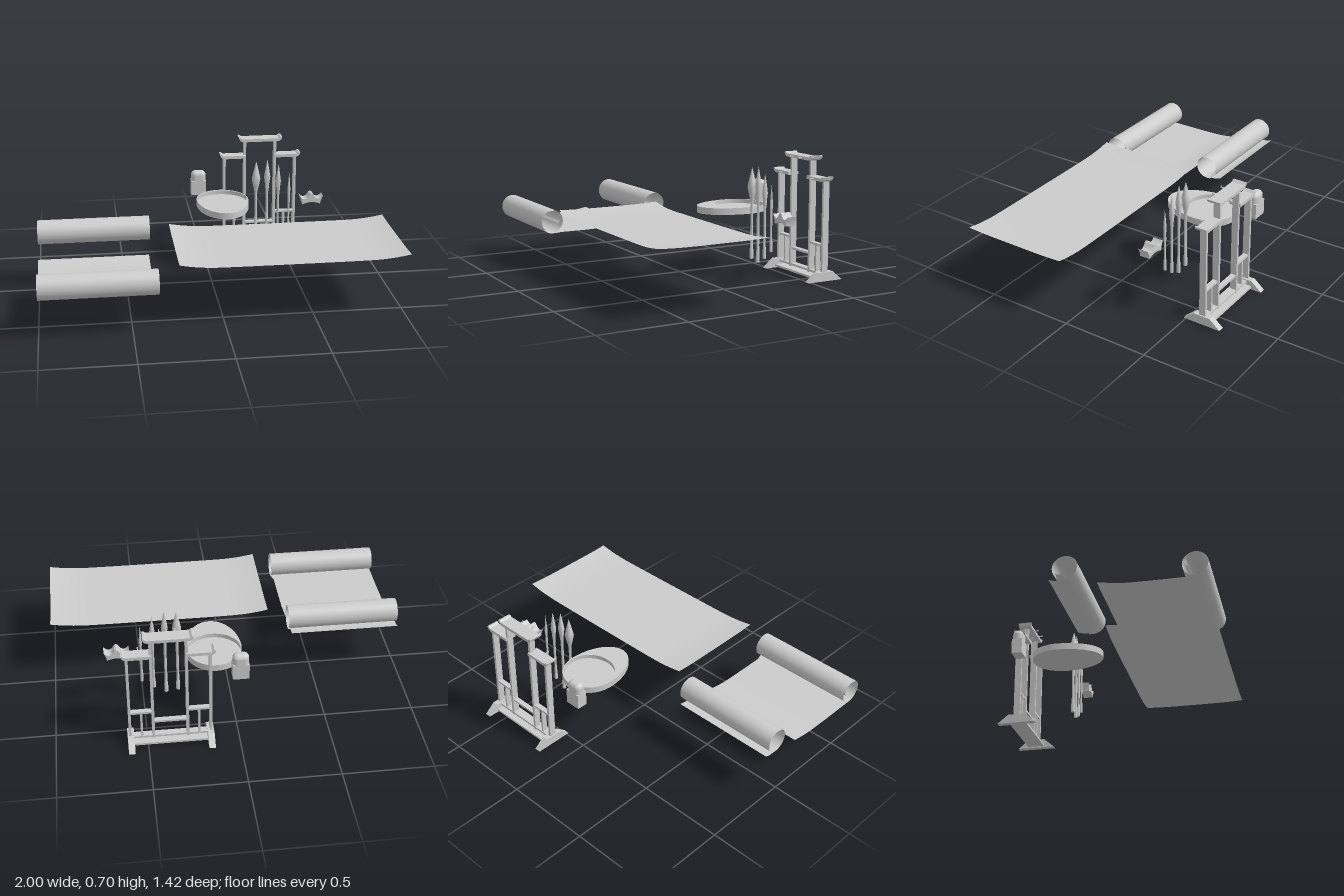
import * as THREE from 'three';
import { toCreasedNormals } from 'three/addons/utils/BufferGeometryUtils.js';
import { RoundedBoxGeometry } from 'three/addons/geometries/RoundedBoxGeometry.js';

const solid = new THREE.MeshStandardMaterial({ color: 0xcccccc });
const thin = new THREE.MeshStandardMaterial({ color: 0xcccccc, side: THREE.DoubleSide });

function add(parent, name, geometry, x = 0, y = 0, z = 0, material = solid) {
  const mesh = new THREE.Mesh(geometry, material);
  mesh.name = name;
  mesh.position.set(x, y, z);
  parent.add(mesh);
  return mesh;
}

const box = (parent, name, w, h, d, x, y, z) => add(parent, name, new THREE.BoxGeometry(w, h, d), x, y, z);

function polygon(points) {
  return new THREE.Shape(points.map(([x, y]) => new THREE.Vector2(x, y)));
}

// Extrusion centred on its depth
function slab(shape, depth, curveSegments = 12) {
  const g = new THREE.ExtrudeGeometry(shape, { depth, bevelEnabled: false, curveSegments });
  g.translate(0, 0, -depth / 2);
  return toCreasedNormals(g, 0.6);
}

// Sheet of paper whose edges curl upward
function paper() {
  const g = new THREE.PlaneGeometry(1.25, 0.62, 48, 24).rotateX(-Math.PI / 2);
  const p = g.attributes.position;
  for (let i = 0; i < p.count; i++) {
    const u = Math.abs(p.getX(i)) / 0.625, v = Math.abs(p.getZ(i)) / 0.31;
    const endCurl = 0.018 * Math.max(0, (u - 0.65) / 0.35) ** 2;
    const cornerCurl = 0.006 * u ** 4 * v ** 4;
    p.setY(i, endCurl + cornerCurl);
  }
  g.computeVertexNormals();
  return g;
}

// Paper roll: a flat tail followed by an inward spiral, swept along x
function scroll(cy, cz, tail, endAngle, endRadius) {
  const section = new THREE.CatmullRomCurve3(
    [...tail, [cz - 0.02, cy - 0.07]].map(([z, y]) => new THREE.Vector3(0, y, z))
  ).getPoints(16).map(p => [p.z, p.y]);
  for (let i = 0; i <= 96; i++) {
    const a = endAngle * i / 96;
    const curl = Math.max(0, (a - endAngle + 1.3) / 1.3);
    const spiral = 0.07 - 0.009 * a / endAngle;
    const r = THREE.MathUtils.lerp(spiral, endRadius, curl * curl);
    section.push([cz + r * Math.sin(a), cy - r * Math.cos(a)]);
  }
  const n = section.length - 1;
  const g = new THREE.PlaneGeometry(1, 1, 4, n);
  const p = g.attributes.position;
  for (let i = 0; i < p.count; i++) {
    const [z, y] = section[Math.floor(i / 5)];
    const u = (i % 5) / 4;
    const inset = i < 16 * 5 ? 0.015 : 0;
    p.setXYZ(i, -0.995 + u * (0.635 - inset), y, z);
  }
  g.computeVertexNormals();
  return g;
}

// Brush: end cap, slim handle, ferrule and pointed bristles
function brush(bottom, tip, belly, handle) {
  const profile = [
    [0, bottom], [handle * 1.4, bottom], [handle * 1.4, bottom + 0.05], [handle * 1.1, bottom + 0.065],
    [handle, bottom + 0.1], [handle, tip - 0.2], [handle * 1.3, tip - 0.185], [belly * 0.7, tip - 0.15],
    [belly, tip - 0.11], [belly * 0.75, tip - 0.08], [belly * 0.35, tip - 0.035], [0, tip]
  ].map(([r, y]) => new THREE.Vector2(r, y));
  return toCreasedNormals(new THREE.LatheGeometry(profile, 16), 0.7);
}

// Egg-shaped ink stone with a round well
function inkStone() {
  const group = new THREE.Group();
  group.name = 'inkStone';
  const egg = () => {
    const pts = [];
    for (let i = 0; i < 64; i++) {
      const a = i / 64 * Math.PI * 2, s = Math.sin(a);
      pts.push([0.155 * Math.cos(a), s * (s > 0 ? 0.17 : 0.25)]);
    }
    return polygon(pts);
  };
  const rim = egg();
  rim.holes.push(new THREE.Path().absellipse(0, 0.015, 0.148, 0.14, 0, Math.PI * 2, true));
  const layer = (shape, h) => slab(shape, h, 32).rotateX(-Math.PI / 2);
  add(group, 'inkStoneBase', layer(egg(), 0.014), 0, 0.007, 0);
  add(group, 'inkStoneRim', layer(rim, 0.024), 0, 0.026, 0);
  group.position.set(0.105, 0.355, -0.32);
  return group;
}

// Seal stamp: square foot, rounded top
function stamp() {
  const w = 0.09, h = 0.15, d = 0.062;
  const g = new RoundedBoxGeometry(w, h, d, 5, 0.028);
  const p = g.attributes.position;
  for (let i = 0; i < p.count; i++) {
    if (p.getY(i) < 0) {
      p.setXYZ(i, Math.sign(p.getX(i)) * w / 2, -h / 2, Math.sign(p.getZ(i)) * d / 2);
    }
  }
  // Flat block closes the lower half, rounded cap sits above it
  const group = new THREE.Group();
  group.name = 'sealStamp';
  add(group, 'stampCap', new RoundedBoxGeometry(w, h, d, 5, 0.028), 0, 0, 0);
  box(group, 'stampFoot', w, h * 0.6, d, 0, -h * 0.2, 0);
  group.position.set(-0.015, 0.43, -0.548);
  return group;
}

// Brush rest: three peaks above an arched base
function brushRest() {
  const s = new THREE.Shape();
  s.moveTo(-0.054, 0);
  s.quadraticCurveTo(0, 0.025, 0.054, 0);
  s.lineTo(0.056, 0.018);
  s.lineTo(0.07, 0.052);
  s.quadraticCurveTo(0.035, 0.01, 0.01, 0.062);
  s.lineTo(0, 0.067);
  s.lineTo(-0.01, 0.062);
  s.quadraticCurveTo(-0.035, 0.01, -0.07, 0.052);
  s.lineTo(-0.056, 0.018);
  s.closePath();
  return slab(s, 0.06);
}

// Roof board with upturned ends; each end may be left plain
function roof(x0, x1, upLeft, upRight, depth) {
  const left = upLeft
    ? [[x0 + 0.022, 0], [x0 + 0.006, 0.01], [x0, 0.026], [x0 + 0.01, 0.028], [x0 + 0.022, 0.018]].reverse()
    : [[x0, 0.018], [x0, 0]];
  const right = upRight
    ? [[x1 - 0.022, 0], [x1 - 0.006, 0.01], [x1, 0.026], [x1 - 0.01, 0.028], [x1 - 0.022, 0.018]]
    : [[x1, 0], [x1, 0.018]];
  return slab(polygon([...left, ...right]), depth);
}

function brushStand() {
  const stand = new THREE.Group();
  stand.name = 'brushStand';
  const foot = polygon([[-0.112, 0], [0.112, 0], [0.05, 0.052], [-0.05, 0.052]]);
  for (const s of [-1, 1]) {
    const side = s < 0 ? 'right' : 'left';
    add(stand, side + 'Foot', slab(foot, 0.036).rotateY(Math.PI / 2), s * 0.218, 0, 0);
    box(stand, side + 'OuterPost', 0.015, 0.53, 0.038, s * 0.221, 0.305, 0);
    box(stand, side + 'InnerPost', 0.015, 0.65, 0.038, s * 0.094, 0.352, 0);
    box(stand, side + 'SideRail', 0.125, 0.012, 0.03, s * 0.158, 0.2, 0);
    box(stand, side + 'ShortPost', 0.012, 0.16, 0.03, s * 0.157, 0.12, 0);
    const lowRoof = s < 0 ? roof(-0.25, -0.09, true, false, 0.068) : roof(0.09, 0.25, false, true, 0.068);
    add(stand, side + 'LowerRoof', lowRoof, 0, 0.565, 0.005);
    // Hanging pegs with turned-up tips
    for (const [x, y] of [[0.157, 0.575], [0.042, 0.68]]) {
      box(stand, side + 'Peg', 0.006, 0.005, 0.04, s * x, y, 0.044);
      box(stand, side + 'PegTip', 0.006, 0.009, 0.004, s * x, y + 0.003, 0.063);
    }
  }
  add(stand, 'upperRoof', roof(-0.134, 0.134, true, true, 0.078), 0, 0.67, 0.002);
  box(stand, 'centreRail', 0.18, 0.012, 0.03, 0, 0.135, 0);
  box(stand, 'upperBaseRail', 0.43, 0.012, 0.04, 0, 0.04, 0);
  box(stand, 'basePlank', 0.43, 0.012, 0.1, 0, 0.014, 0);
  stand.position.set(0.374, 0, -0.598);
  return stand;
}

export function createModel() {
  const model = new THREE.Group();
  model.name = 'calligraphySet';
  add(model, 'paperSheet', paper(), 0.375, 0.355, 0.335, thin);
  add(model, 'closedScroll', scroll(0.348, -0.018, [[-0.1, 0.288], [-0.07, 0.28]], 12.2, 0.035), 0, 0, 0, thin);
  add(model, 'openScroll', scroll(0.295, 0.643, [[0.148, 0.246], [0.26, 0.229], [0.4, 0.225]], 11.3, 0.038), 0, 0, 0, thin);
  model.add(inkStone(), stamp(), brushStand());
  add(model, 'brushRest', brushRest(), 0.64, 0.355, -0.298);
  const brushes = [
    [0.305, 0.105, 0.63, 0.026, 0.008], [0.372, 0.095, 0.64, 0.019, 0.008],
    [0.44, 0.13, 0.61, 0.016, 0.007], [0.506, 0.18, 0.555, 0.009, 0.006]
  ];
  brushes.forEach(([x, bottom, tip, belly, handle], i) =>
    add(model, 'brush' + (i + 1), brush(bottom, tip, belly, handle), x, 0, -0.298));
  return model;
}
